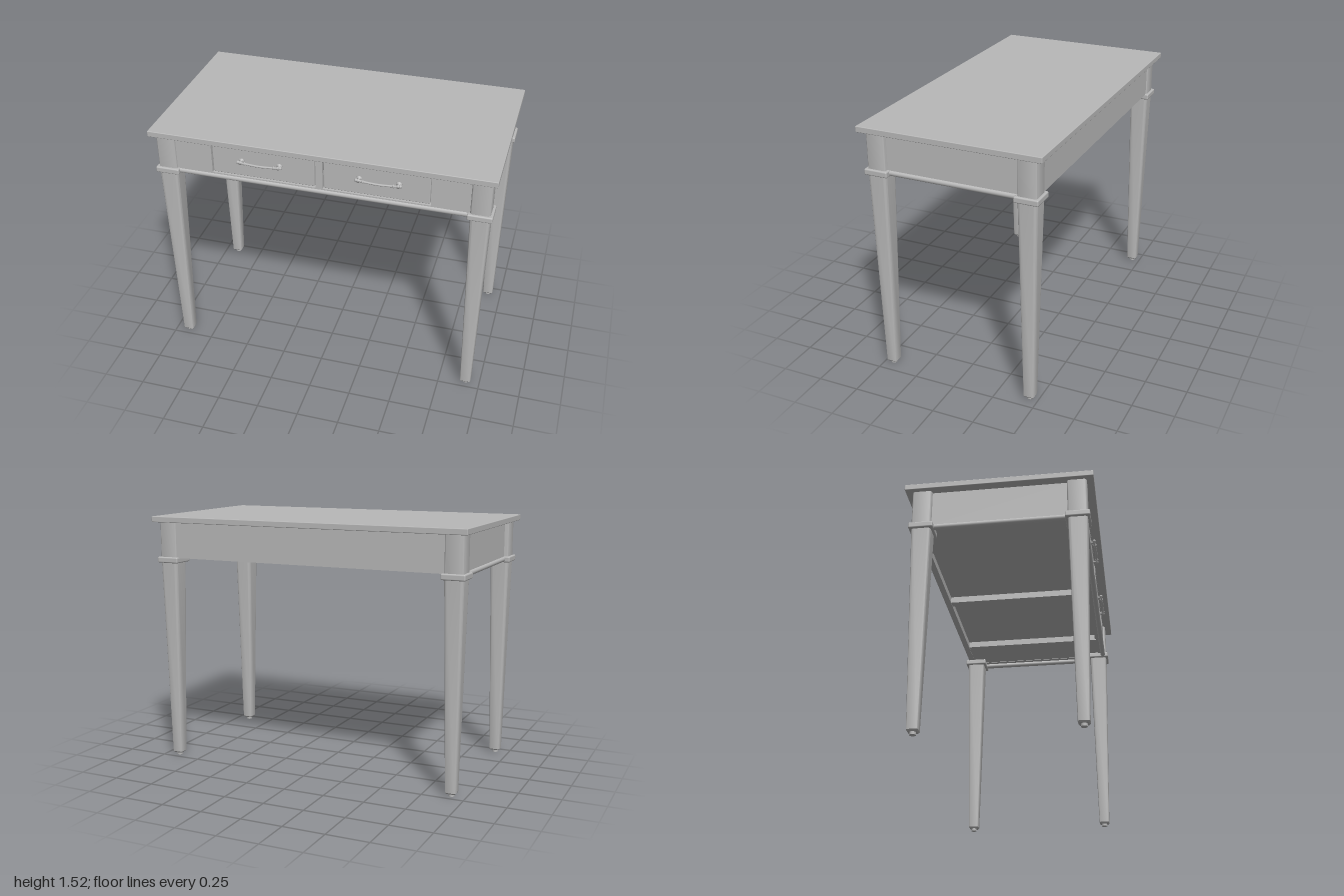
import * as THREE from 'three';
import { RoundedBoxGeometry } from 'three/addons/geometries/RoundedBoxGeometry.js';
import { toCreasedNormals } from 'three/addons/utils/BufferGeometryUtils.js';

const paint = new THREE.MeshStandardMaterial({ color: 0xb8b8b8 });
paint.name = 'grey paint';

function add(parent, name, geometry, x = 0, y = 0, z = 0) {
  const mesh = new THREE.Mesh(geometry, paint);
  mesh.name = name;
  mesh.position.set(x, y, z);
  parent.add(mesh);
  return mesh;
}

// Box given by its limits on each axis
function slab(parent, name, x0, x1, y0, y1, z0, z1, radius = 0) {
  const w = x1 - x0, h = y1 - y0, d = z1 - z0;
  const geometry = radius ? new RoundedBoxGeometry(w, h, d, 3, radius) : new THREE.BoxGeometry(w, h, d);
  return add(parent, name, geometry, (x0 + x1) / 2, (y0 + y1) / 2, (z0 + z1) / 2);
}

// Square post with rounded edges whose width changes from bottom to top
function taperedPost(bottom, top, height, radius) {
  const h = top / 2, r = radius;
  const s = new THREE.Shape();
  s.moveTo(-h + r, -h);
  s.lineTo(h - r, -h);
  s.absarc(h - r, -h + r, r, -Math.PI / 2, 0);
  s.lineTo(h, h - r);
  s.absarc(h - r, h - r, r, 0, Math.PI / 2);
  s.lineTo(-h + r, h);
  s.absarc(-h + r, h - r, r, Math.PI / 2, Math.PI);
  s.lineTo(-h, -h + r);
  s.absarc(-h + r, -h + r, r, Math.PI, Math.PI * 1.5);
  const g = new THREE.ExtrudeGeometry(s, { depth: height, bevelEnabled: false, curveSegments: 5 });
  g.rotateX(-Math.PI / 2);
  const p = g.attributes.position;
  for (let i = 0; i < p.count; i++) {
    const k = THREE.MathUtils.lerp(bottom / top, 1, p.getY(i) / height);
    p.setX(i, p.getX(i) * k);
    p.setZ(i, p.getZ(i) * k);
  }
  return toCreasedNormals(g, 0.6);
}

function makeLeg(x, z) {
  const leg = new THREE.Group();
  leg.name = 'leg';
  add(leg, 'footGlide', new THREE.CylinderGeometry(0.018, 0.018, 0.02, 16), 0, 0.01, 0);
  add(leg, 'footEdge', taperedPost(0.052, 0.064, 0.008, 0.01), 0, 0.016, 0);
  add(leg, 'taperedShaft', taperedPost(0.064, 0.114, 1.22, 0.018), 0, 0.024, 0);
  add(leg, 'collar', new RoundedBoxGeometry(0.142, 0.036, 0.142, 3, 0.008), 0, 1.258, 0);
  add(leg, 'cornerBlock', taperedPost(0.114, 0.114, 0.22, 0.016), 0, 1.272, 0);
  leg.position.set(x, 0, z);
  return leg;
}

// Bowed drawer pull with turned posts and beads
function makeHandle() {
  const handle = new THREE.Group();
  handle.name = 'drawerHandle';
  const curve = new THREE.CatmullRomCurve3([
    new THREE.Vector3(-0.125, 0.003, 0.026),
    new THREE.Vector3(-0.085, -0.001, 0.027),
    new THREE.Vector3(0, -0.004, 0.03),
    new THREE.Vector3(0.085, -0.001, 0.027),
    new THREE.Vector3(0.125, 0.003, 0.026),
  ]);
  add(handle, 'handleBar', new THREE.TubeGeometry(curve, 24, 0.0065, 10));
  const postProfile = [[0, 0], [0.017, 0], [0.017, 0.004], [0.007, 0.008], [0.006, 0.018], [0.011, 0.023], [0.011, 0.03], [0, 0.034]]
    .map(([r, y]) => new THREE.Vector2(r, y));
  for (const s of [-1, 1]) {
    add(handle, 'handlePost', new THREE.LatheGeometry(postProfile, 16), s * 0.113, 0, 0).rotation.x = Math.PI / 2;
    add(handle, 'handleBead', new THREE.SphereGeometry(0.011, 12, 8), s * 0.086, -0.001, 0.027).scale.x = 0.6;
    add(handle, 'handleTip', new THREE.SphereGeometry(0.01, 12, 8), s * 0.125, 0.003, 0.026);
  }
  return handle;
}

export function createModel() {
  const table = new THREE.Group();
  table.name = 'writingTable';

  slab(table, 'tableTop', -1, 1, 1.49, 1.525, -0.546, 0.546, 0.004);

  for (const x of [-0.914, 0.914]) for (const z of [-0.448, 0.448]) table.add(makeLeg(x, z));

  // Back apron and front face frame
  slab(table, 'backApron', -0.87, 0.87, 1.272, 1.49, -0.497, -0.46);
  slab(table, 'frontTopRail', -0.64, 0.64, 1.484, 1.49, 0.45, 0.49);
  slab(table, 'frontBottomRail', -0.87, 0.87, 1.268, 1.281, 0.45, 0.49);
  slab(table, 'centreStile', -0.02, 0.02, 1.28, 1.49, 0.45, 0.49);
  slab(table, 'centreRunner', -0.025, 0.025, 1.275, 1.49, -0.46, 0.45);
  const rod = new THREE.CylinderGeometry(0.016, 0.016, 1, 16);
  const frontRod = add(table, 'frontMoulding', rod, 0, 1.259, 0.483);
  frontRod.rotation.z = Math.PI / 2;
  frontRod.scale.y = 1.74;

  for (const s of [-1, 1]) {
    const side = new THREE.Group();
    side.name = 'sideAssembly';
    table.add(side);
    const part = (name, x0, x1, ...rest) => slab(side, name, Math.min(s * x0, s * x1), Math.max(s * x0, s * x1), ...rest);

    // Side apron with its moulding, front stile and inner panel
    part('sideApron', 0.905, 0.945, 1.272, 1.49, -0.4, 0.4);
    const sideRod = add(side, 'sideMoulding', rod, s * 0.94, 1.259, 0);
    sideRod.rotation.x = Math.PI / 2;
    sideRod.scale.y = 0.8;
    part('frontStile', 0.64, 0.87, 1.275, 1.49, 0.45, 0.49);
    part('innerPanel', 0.64, 0.91, 1.275, 1.3, -0.465, 0.455);
    part('drawerGuide', 0.64, 0.66, 1.275, 1.49, -0.46, 0.45);

    // Drawer
    part('drawerFront', 0.027, 0.633, 1.287, 1.478, 0.455, 0.487, 0.004);
    part('drawerRecess', 0.018, 0.642, 1.28, 1.488, 0.44, 0.462);
    part('drawerBottom', 0.025, 0.64, 1.315, 1.325, -0.46, 0.455);
    const handle = makeHandle();
    handle.position.set(s * 0.345, 1.385, 0.486);
    side.add(handle);
  }
  return table;
}
